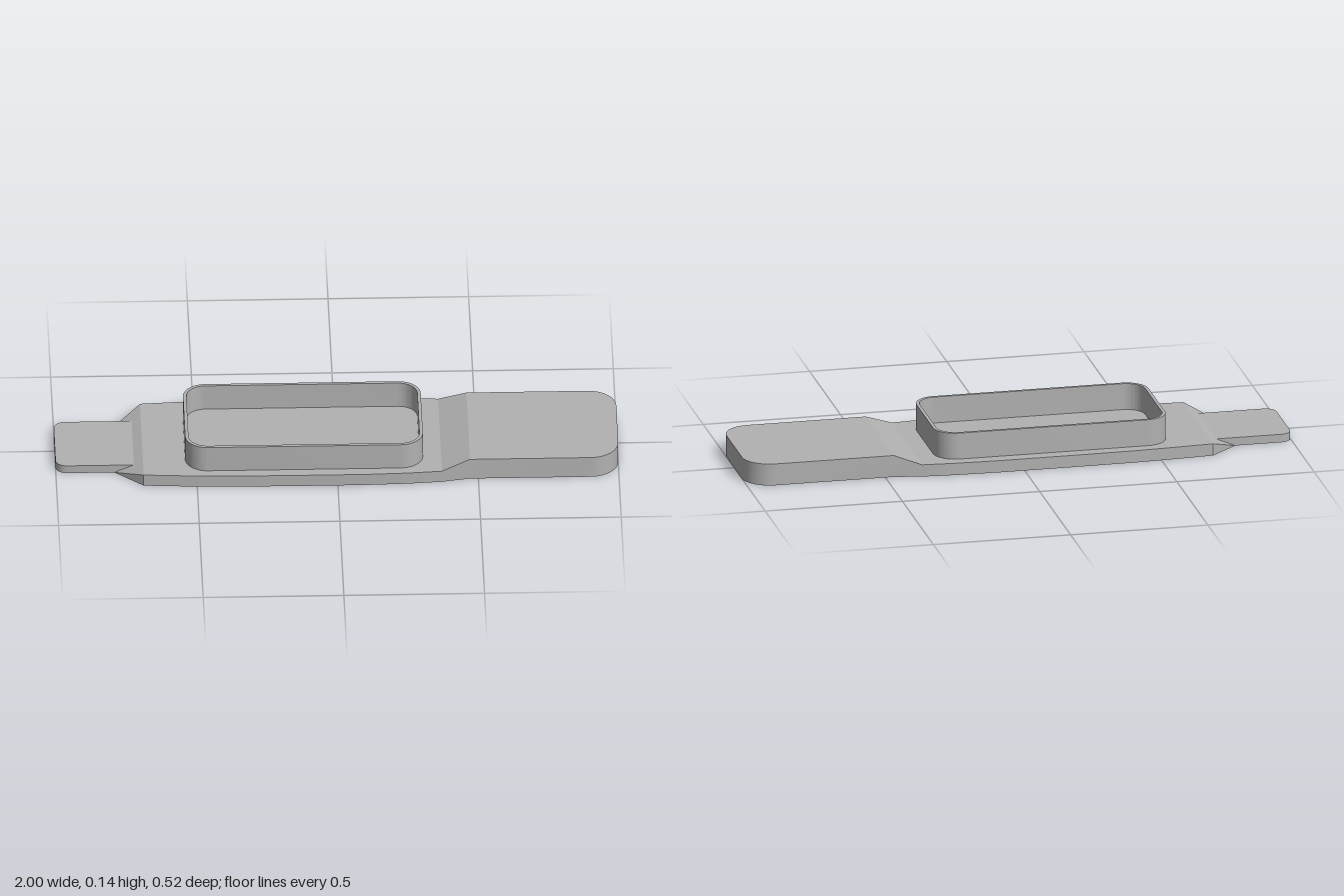
import * as THREE from 'three';
import { toCreasedNormals } from 'three/addons/utils/BufferGeometryUtils.js';

// Flat-bottomed solid lofted along x from stations [x, halfWidth, height]
function loft(stations) {
  const pos = [];
  const ring = ([x, w, h]) => [[x, 0, w], [x, h, w], [x, h, -w], [x, 0, -w]];
  const quad = (a, b, c, d) => pos.push(...a, ...b, ...c, ...a, ...c, ...d);
  const rings = stations.map(ring);
  for (let i = 0; i < rings.length - 1; i++) {
    const a = rings[i], b = rings[i + 1];
    for (let k = 0; k < 4; k++) {
      const n = (k + 1) % 4;
      quad(a[k], b[k], b[n], a[n]);
    }
  }
  const s = rings[0], e = rings[rings.length - 1];
  quad(s[0], s[1], s[2], s[3]);
  quad(e[3], e[2], e[1], e[0]);
  const geo = new THREE.BufferGeometry();
  geo.setAttribute('position', new THREE.Float32BufferAttribute(pos, 3));
  geo.computeVertexNormals();
  return toCreasedNormals(geo, 0.28);
}

// Stations rounding off a corner, running from the full width to the end at xEnd
function roundedEnd(xEnd, dir, w, h, r, steps = 8) {
  const out = [];
  for (let i = 0; i <= steps; i++) {
    const t = (i / steps) * Math.PI / 2;
    out.push([xEnd - dir * r * (1 - Math.sin(t)), w - r * (1 - Math.cos(t)), h]);
  }
  return out;
}

function roundedRect(path, x0, x1, z0, z1, r) {
  path.moveTo(x0 + r, z0);
  path.lineTo(x1 - r, z0);
  path.absarc(x1 - r, z0 + r, r, -Math.PI / 2, 0);
  path.lineTo(x1, z1 - r);
  path.absarc(x1 - r, z1 - r, r, 0, Math.PI / 2);
  path.lineTo(x0 + r, z1);
  path.absarc(x0 + r, z1 - r, r, Math.PI / 2, Math.PI);
  path.lineTo(x0, z0 + r);
  path.absarc(x0 + r, z0 + r, r, Math.PI, Math.PI * 1.5);
  return path;
}

export function createModel() {
  const group = new THREE.Group();
  const grey = new THREE.MeshStandardMaterial({ color: 0xb2b2b2 });
  grey.name = 'grey';
  const add = (name, geo) => {
    const mesh = new THREE.Mesh(geo, grey);
    mesh.name = name;
    group.add(mesh);
    return mesh;
  };

  // Base plate: sloped shoulder, bowed middle, ramp up to the thick grip
  add('basePlate', loft([
    [-0.79, 0.15, 0.001],
    [-0.69, 0.24, 0.044],
    [-0.55, 0.249, 0.044],
    [-0.4, 0.256, 0.044],
    [-0.15, 0.258, 0.044],
    [0.1, 0.258, 0.044],
    [0.25, 0.253, 0.044],
    [0.37, 0.244, 0.044],
    [0.47, 0.225, 0.08],
    ...roundedEnd(1, 1, 0.225, 0.08, 0.1),
  ]));

  // Thin tab at the narrow end, running into the shoulder slope
  add('endTab', loft([
    ...roundedEnd(-1, -1, 0.148, 0.03, 0.04).reverse(),
    [-0.7, 0.148, 0.03],
  ]));

  // Raised rim standing on the plate
  const rim = roundedRect(new THREE.Shape(), -0.54, 0.305, -0.218, 0.21, 0.08);
  rim.holes.push(roundedRect(new THREE.Path(), -0.528, 0.293, -0.206, 0.198, 0.068));
  const rimGeo = new THREE.ExtrudeGeometry(rim, { depth: 0.101, bevelEnabled: false, curveSegments: 10 });
  rimGeo.rotateX(-Math.PI / 2);
  add('rim', toCreasedNormals(rimGeo, 0.5)).position.y = 0.04;

  return group;
}
